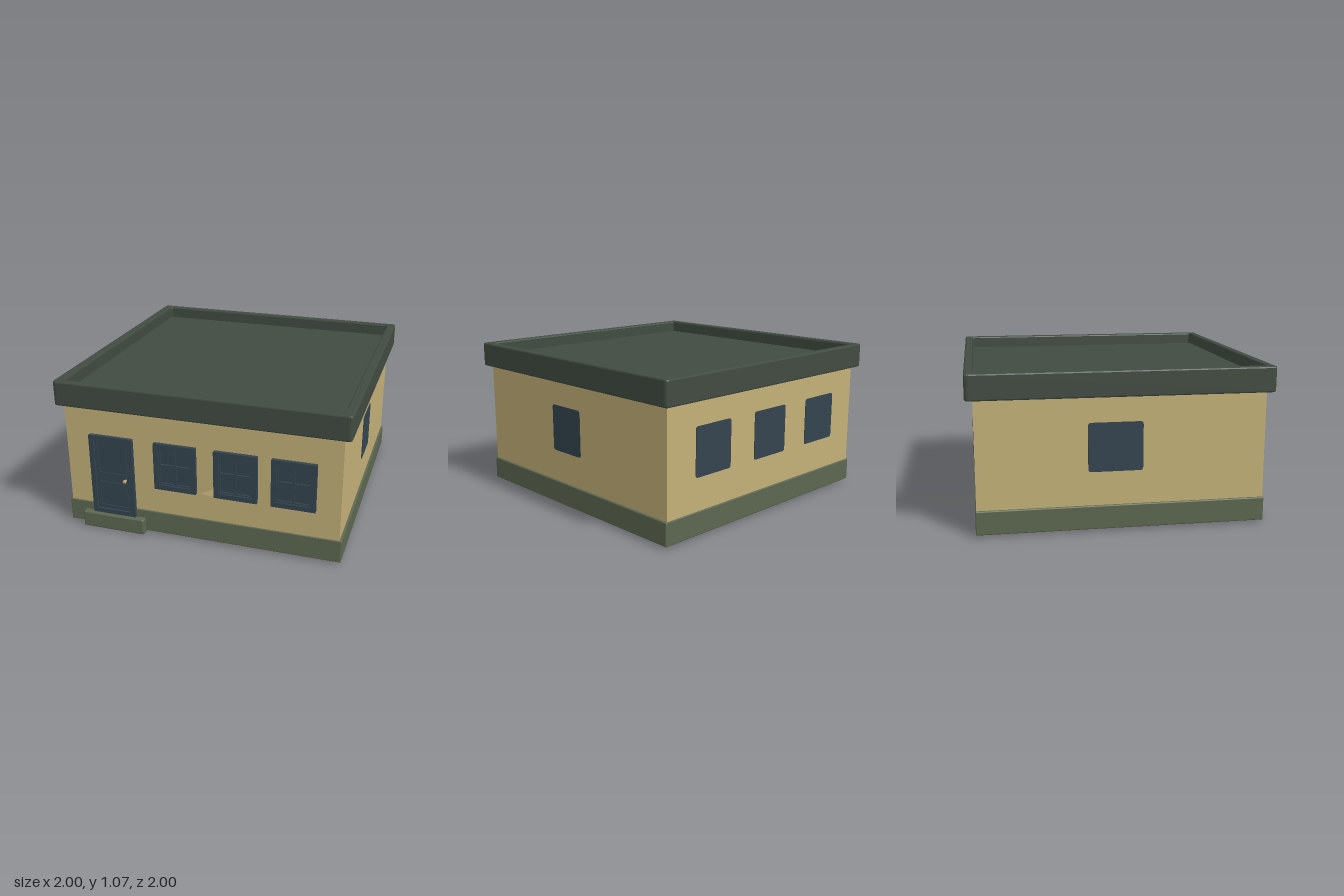
import * as THREE from 'three';
import { RoundedBoxGeometry } from 'three/addons/geometries/RoundedBoxGeometry.js';

const material = (name, color) => {
  const m = new THREE.MeshStandardMaterial({ color });
  m.name = name;
  return m;
};

export function createModel() {
  const wallPaint = material('wall sand', 0xc4b178);
  const roofPaint = material('roof dark green', 0x414b41);
  const basePaint = material('foundation green', 0x5c6750);
  const joinery = material('joinery blue', 0x34444f);
  const knobPaint = material('knob brass', 0xb39a62);

  const model = new THREE.Group();
  model.name = 'house';

  const add = (parent, name, geometry, mat, x = 0, y = 0, z = 0) => {
    const mesh = new THREE.Mesh(geometry, mat);
    mesh.name = name;
    mesh.position.set(x, y, z);
    parent.add(mesh);
    return mesh;
  };
  // Box given by its limits; r > 0 rounds the edges
  const block = (parent, name, mat, [x0, x1], [y0, y1], [z0, z1], r = 0) => {
    const size = [x1 - x0, y1 - y0, z1 - z0];
    const geometry = r ? new RoundedBoxGeometry(...size, 2, r) : new THREE.BoxGeometry(...size);
    return add(parent, name, geometry, mat, (x0 + x1) / 2, (y0 + y1) / 2, (z0 + z1) / 2);
  };
  // Rectangle outline centred on the origin with rounded corners
  const roundedRect = (w, h, r, Type = THREE.Shape) => {
    const s = new Type(), a = w / 2, b = h / 2;
    s.moveTo(-a + r, -b);
    s.lineTo(a - r, -b).quadraticCurveTo(a, -b, a, -b + r);
    s.lineTo(a, b - r).quadraticCurveTo(a, b, a - r, b);
    s.lineTo(-a + r, b).quadraticCurveTo(-a, b, -a, b - r);
    s.lineTo(-a, -b + r).quadraticCurveTo(-a, -b, -a + r, -b);
    return s;
  };

  // Body
  block(model, 'walls', wallPaint, [-0.95, 0.95], [0.1, 0.93], [-0.95, 0.95]);
  block(model, 'foundation', basePaint, [-0.965, 0.965], [0.02, 0.18], [-0.957, 0.957], 0.008);
  block(model, 'doorStep', basePaint, [-0.85, -0.395], [0.005, 0.12], [0.9, 1.0], 0.012);

  // Flat roof: deck inside a raised, bevelled parapet
  block(model, 'roofDeck', roofPaint, [-0.95, 0.95], [0.905, 0.985], [-0.95, 0.95]);
  const rim = roundedRect(2, 2, 0.03);
  rim.holes.push(roundedRect(1.87, 1.89, 0.02, THREE.Path));
  const bevel = 0.01;
  const rimGeometry = new THREE.ExtrudeGeometry(rim, {
    depth: 0.17 - 2 * bevel, bevelThickness: bevel, bevelSize: bevel,
    bevelOffset: -bevel, bevelSegments: 2, curveSegments: 4,
  });
  rimGeometry.rotateX(-Math.PI / 2);
  add(model, 'parapet', rimGeometry, roofPaint, 0, 0.9 + bevel, 0);

  // Raised rectangular frame made from one extruded outline with a hole
  const frame = (parent, name, w, h, border, depth, x, y, z) => {
    const s = roundedRect(w, h, 0.004);
    s.holes.push(roundedRect(w - 2 * border, h - 2 * border, 0.002, THREE.Path));
    const g = new THREE.ExtrudeGeometry(s, { depth, bevelEnabled: false, curveSegments: 2 });
    return add(parent, name, g, joinery, x, y, z);
  };

  // Front windows: pane, frame, inner sash and crossed glazing bars
  for (const x of [-0.162, 0.256, 0.643]) {
    const win = new THREE.Group();
    win.name = 'frontWindow';
    win.position.set(x, 0.537, 0.95);
    model.add(win);
    block(win, 'pane', joinery, [-0.14, 0.14], [-0.16, 0.16], [-0.01, 0.005]);
    frame(win, 'windowFrame', 0.295, 0.335, 0.034, 0.026, 0, 0, 0);
    frame(win, 'windowSash', 0.23, 0.27, 0.012, 0.016, 0, 0, 0);
    block(win, 'uprightBar', joinery, [-0.008, 0.008], [-0.13, 0.13], [0, 0.016]);
    block(win, 'crossBar', joinery, [-0.11, 0.11], [-0.002, 0.016], [0, 0.016]);
  }

  // Small sloping ledge beside the middle window
  const ledgeShape = new THREE.Shape([
    new THREE.Vector2(0, 0), new THREE.Vector2(0.02, 0), new THREE.Vector2(0, 0.055),
  ]);
  const ledge = new THREE.ExtrudeGeometry(ledgeShape, { depth: 0.1, bevelEnabled: false });
  ledge.rotateY(-Math.PI / 2);
  const p = ledge.attributes.position;
  for (let i = 0; i < p.count; i++) {
    // Taper to a point at the far end
    const t = 1 + p.getX(i) / 0.1;
    p.setXYZ(i, p.getX(i), p.getY(i) * t, p.getZ(i) * t);
  }
  ledge.computeVertexNormals();
  add(model, 'windowLedge', ledge, wallPaint, 0.11, 0.37, 0.95);

  // Door with frame, two panels and a knob
  const door = new THREE.Group();
  door.name = 'door';
  door.position.set(-0.619, 0.412, 0.95);
  model.add(door);
  block(door, 'doorLeaf', joinery, [-0.14, 0.14], [-0.292, 0.28], [-0.01, 0.012]);
  frame(door, 'doorFrame', 0.315, 0.586, 0.034, 0.026, 0, 0, 0);
  frame(door, 'upperPanel', 0.21, 0.25, 0.01, 0.018, 0, 0.135, 0);
  frame(door, 'lowerPanel', 0.21, 0.19, 0.01, 0.018, 0, -0.145, 0);
  const stem = new THREE.CylinderGeometry(0.006, 0.008, 0.025, 12);
  stem.rotateX(Math.PI / 2);
  add(door, 'knobStem', stem, knobPaint, 0.096, -0.02, 0.022);
  add(door, 'doorKnob', new THREE.SphereGeometry(0.014, 16, 12), knobPaint, 0.096, -0.02, 0.035);

  // Plain windows on the sides and back: thin rounded plates
  const plainWindow = (name, w, h, x, y, z, turn) => {
    const g = new THREE.ExtrudeGeometry(roundedRect(w, h, 0.02), {
      depth: 0.004, bevelEnabled: false, curveSegments: 4,
    });
    add(model, name, g, joinery, x, y, z).rotation.y = turn;
  };
  plainWindow('rightWindow', 0.3, 0.325, 0.95, 0.563, 0.04, Math.PI / 2);
  plainWindow('leftWindow', 0.36, 0.325, -0.95, 0.568, -0.05, -Math.PI / 2);
  for (const x of [0.545, -0.01, -0.56]) {
    plainWindow('backWindow', 0.32, 0.33, x, 0.568, -0.95, Math.PI);
  }

  return model;
}
